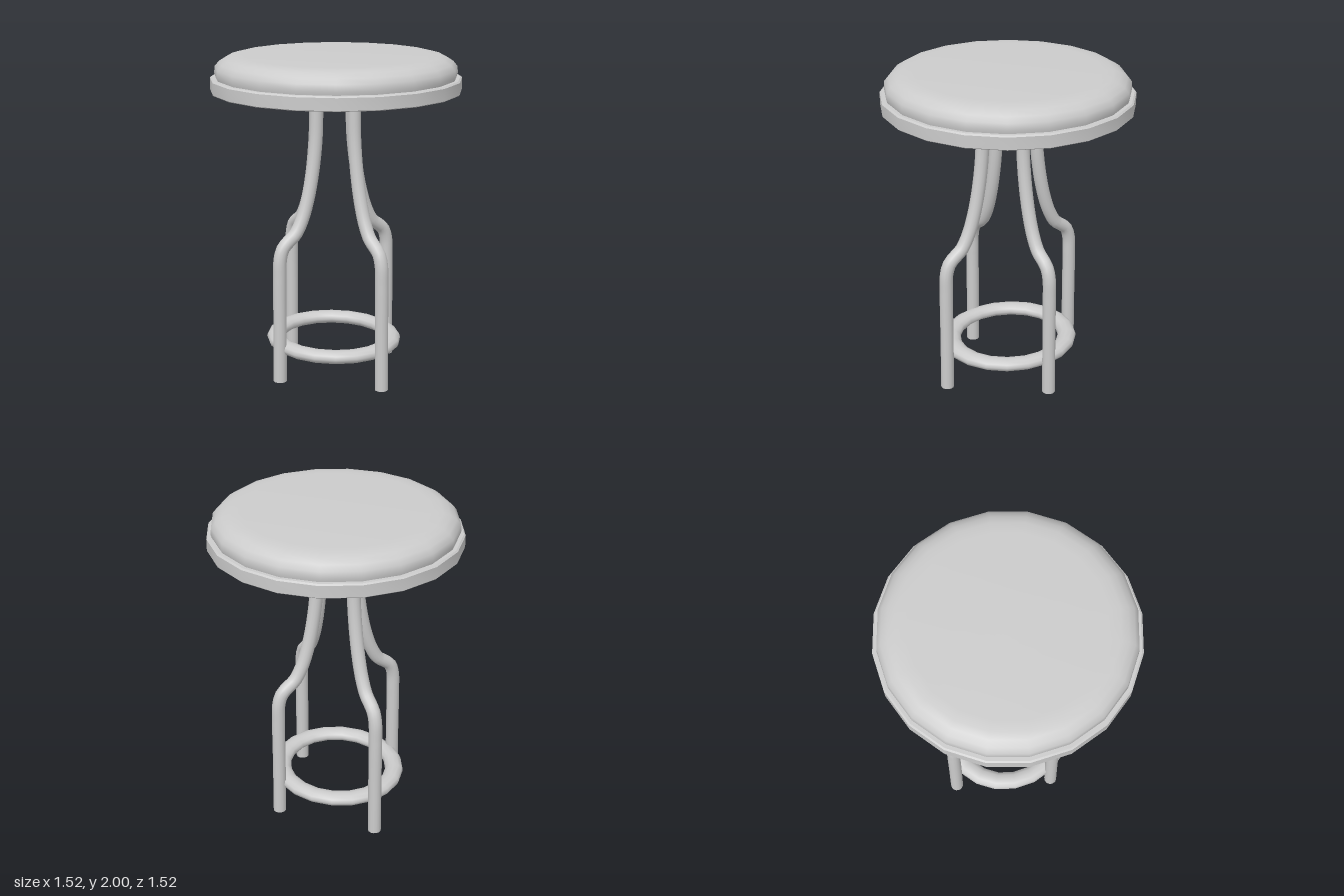
import * as THREE from 'three';
import { toCreasedNormals } from 'three/addons/utils/BufferGeometryUtils.js';

const material = new THREE.MeshStandardMaterial({ color: 0xcccccc });

function addMesh(parent, name, geometry) {
  const mesh = new THREE.Mesh(geometry, material);
  mesh.name = name;
  parent.add(mesh);
  return mesh;
}

// Turned part from [radius, height] pairs, listed from bottom to top
function turned(profile, sides, crease = 0.6) {
  const points = profile.map(([r, y]) => new THREE.Vector2(r, y));
  return toCreasedNormals(new THREE.LatheGeometry(points, sides), crease);
}

// Bent leg in the x-y plane: [distance outward, height], shifted outward by offset
const LEG_PATH = [
  [0.133, 1.76], [0.14, 1.5], [0.167, 1.29], [0.203, 1.13], [0.245, 1.01],
  [0.295, 0.925], [0.345, 0.887], [0.385, 0.852], [0.408, 0.79], [0.414, 0.66],
  [0.416, 0.35], [0.42, 0],
];

function createLeg(offset) {
  const leg = new THREE.Group();
  const curve = new THREE.CatmullRomCurve3(
    LEG_PATH.map(([x, y]) => new THREE.Vector3(x + offset, y, 0)));
  addMesh(leg, 'legTube', new THREE.TubeGeometry(curve, 56, 0.041, 14));
  // Closed foot
  const foot = addMesh(leg, 'foot', new THREE.CircleGeometry(0.041, 14));
  foot.rotation.x = Math.PI / 2;
  foot.position.set(0.42 + offset, 0.001, 0);
  return leg;
}

export function createModel() {
  const stool = new THREE.Group();
  stool.name = 'stool';

  // Padded seat top
  addMesh(stool, 'cushion', turned([
    [0.725, 1.86], [0.734, 1.89], [0.73, 1.93], [0.705, 1.96],
    [0.668, 1.984], [0.625, 1.996], [0.56, 2], [0, 2],
  ], 20, 0.8));

  // Band around the seat, with a small bevel on its upper edge
  addMesh(stool, 'seatRim', turned([
    [0, 1.785], [0.755, 1.785], [0.76, 1.79], [0.76, 1.862], [0.75, 1.87], [0.7, 1.87],
  ], 20));

  // Mounting plate under the seat
  addMesh(stool, 'mountingPlate', turned([
    [0, 1.745], [0.375, 1.745], [0.38, 1.75], [0.38, 1.79],
  ], 32));

  // Four bent legs, the front and back pair set further out
  const base = new THREE.Group();
  base.name = 'base';
  base.position.set(-0.002, 0, -0.013);
  stool.add(base);
  ['leftLeg', 'backLeg', 'rightLeg', 'frontLeg'].forEach((name, i) => {
    const leg = createLeg(i % 2 ? 0.063 : 0);
    leg.name = name;
    leg.rotation.y = i * Math.PI / 2;
    base.add(leg);
  });

  // Foot ring with a flattened oval section
  const section = [];
  for (let i = 0; i <= 12; i++) {
    const a = (i / 12) * Math.PI * 2;
    section.push([0.365 + 0.058 * Math.cos(a), 0.04 * Math.sin(a)]);
  }
  const ring = addMesh(base, 'footRing', turned(section, 20, 1));
  ring.position.set(-0.006, 0.205, -0.003);
  ring.scale.set(0.98, 1, 1.04);

  return stool;
}
